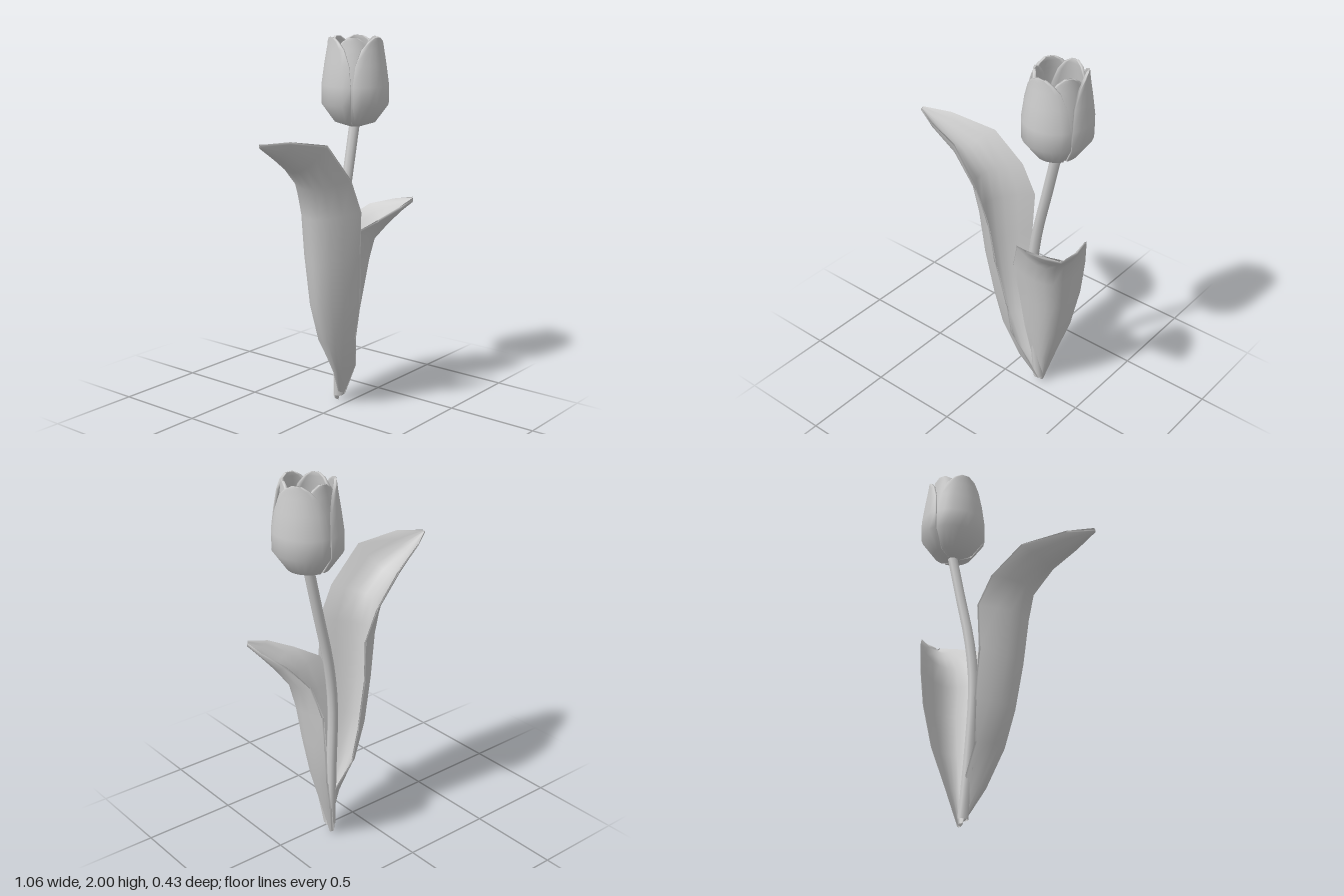
import * as THREE from 'three';

const material = new THREE.MeshStandardMaterial({ color: 0xcccccc, side: THREE.DoubleSide });

// Skin a stack of closed rings (equal point counts) and cap both ends
function loft(rings) {
  const n = rings[0].length, index = [];
  for (let i = 0; i < rings.length - 1; i++) {
    for (let j = 0; j < n; j++) {
      const a = i * n + j, b = i * n + (j + 1) % n;
      index.push(a, a + n, b, b, a + n, b + n);
    }
  }
  const last = (rings.length - 1) * n;
  for (let j = 1; j < n - 1; j++) {
    index.push(0, j, j + 1, last, last + j + 1, last + j);
  }
  const geometry = new THREE.BufferGeometry();
  geometry.setAttribute('position', new THREE.Float32BufferAttribute(rings.flat(2), 3));
  geometry.setIndex(index);
  geometry.computeVertexNormals();
  return geometry;
}

// Thin ring: outer skin from t = -1 to 1, then inner skin back again
function shellRing(point, segments) {
  const outer = [], inner = [];
  for (let j = 0; j <= segments; j++) {
    const t = (j / segments) * 2 - 1;
    outer.push(point(t, 0));
    inner.unshift(point(t, 1));
  }
  return [...outer, ...inner];
}

function part(name, geometry) {
  const mesh = new THREE.Mesh(geometry, material);
  mesh.name = name;
  return mesh;
}

// Channel leaf. Row: midrib out, midrib y, edge out, edge y, half width, side shift,
// then how far the two edges differ outwards (lean) and in height (tilt)
function leaf(name, rows) {
  const thickness = 0.012;
  return part(name, loft(rows.map(([mx, my, ex, ey, w, shift, lean = 0, tilt = 0]) => {
    const dir = new THREE.Vector2(ex - mx, ey - my).normalize().multiplyScalar(thickness);
    return shellRing((t, inside) => {
      const k = t * t;
      return [
        mx + (ex - mx) * k - lean * t * k + dir.x * inside,
        my + (ey - my) * k - tilt * t * k + dir.y * inside,
        shift + w * t,
      ];
    }, 8);
  })));
}

// Cupped petal. Row: height, radius, half angle
const petalRows = [
  [1.53, 0.03, 0.9], [1.555, 0.105, 0.95], [1.65, 0.172, 1.02], [1.75, 0.173, 1.02],
  [1.86, 0.158, 0.94], [1.94, 0.145, 0.73], [1.98, 0.14, 0.46], [2.0, 0.138, 0.18],
];
function petal(name, scale, angle) {
  const mesh = part(name, loft(petalRows.map(([y, r, half]) =>
    shellRing((t, inside) => {
      const radius = r * scale - 0.012 * inside;
      return [radius * Math.cos(t * half), y, radius * Math.sin(t * half)];
    }, 8))));
  mesh.rotation.y = angle;
  return mesh;
}

export function createModel() {
  const model = new THREE.Group();
  model.name = 'flower';

  // Stem
  const path = new THREE.CatmullRomCurve3([
    [0.2, 0.04, -0.05], [0.175, 0.4, -0.035], [0.16, 0.75, -0.03],
    [0.185, 1.0, -0.03], [0.245, 1.28, -0.03], [0.305, 1.56, -0.03],
  ].map((p) => new THREE.Vector3(...p)));
  model.add(part('stem', new THREE.TubeGeometry(path, 16, 0.028, 8)));

  // Tall leaf on the right, curling outwards
  const tallLeaf = leaf('tallLeaf', [
    [0.01, 0.04, -0.01, 0.04, 0.015, 0.04],
    [0.1, 0.2, 0.01, 0.23, 0.06, 0.0, -0.01],
    [0.2, 0.4, 0.09, 0.41, 0.11, 0.0, -0.02],
    [0.26, 0.6, 0.1, 0.62, 0.145, 0.0, -0.025],
    [0.3, 0.85, 0.14, 0.9, 0.17, -0.01, -0.015],
    [0.33, 1.1, 0.15, 1.13, 0.186, -0.015],
    [0.36, 1.26, 0.23, 1.295, 0.182, -0.015, 0, 0.01],
    [0.47, 1.36, 0.39, 1.465, 0.158, -0.017, 0, 0.03],
    [0.6, 1.44, 0.6, 1.515, 0.085, -0.035, 0, 0.015],
    [0.725, 1.515, 0.725, 1.525, 0.008, -0.04],
  ]);
  tallLeaf.position.x = 0.2;
  tallLeaf.rotation.y = Math.PI;
  model.add(tallLeaf);

  // Short leaf wrapping the front left of the stem
  const shortLeaf = leaf('shortLeaf', [
    [0.0, 0.0, -0.015, 0.01, 0.015, -0.02],
    [0.05, 0.2, -0.01, 0.2, 0.07, -0.03],
    [0.1, 0.4, 0.0, 0.4, 0.125, -0.045],
    [0.14, 0.62, 0.0, 0.62, 0.165, -0.053],
    [0.17, 0.8, 0.01, 0.82, 0.19, -0.045],
    [0.2, 0.92, 0.07, 0.98, 0.18, -0.046],
    [0.27, 1.0, 0.2, 1.055, 0.147, -0.046, 0, 0.015],
    [0.345, 1.07, 0.325, 1.1, 0.09, -0.045, 0, 0.005],
    [0.405, 1.11, 0.405, 1.125, 0.012, -0.05],
  ]);
  shortLeaf.position.set(0.2, 0, -0.05);
  shortLeaf.rotation.y = -Math.PI / 4;
  model.add(shortLeaf);

  // Bloom: three outer petals, three inner petals between them
  const bloom = new THREE.Group();
  bloom.name = 'bloom';
  for (let i = 0; i < 3; i++) {
    const angle = -Math.PI / 2 + (i * Math.PI * 2) / 3;
    bloom.add(petal('outerPetal', 1, angle));
    bloom.add(petal('innerPetal', 0.87, angle + Math.PI / 3));
  }

  // Pistil
  const column = part('pistilColumn', new THREE.CylinderGeometry(0.018, 0.025, 0.17, 8));
  column.position.set(0.015, 1.62, -0.01);
  const tip = part('pistilTip', new THREE.SphereGeometry(0.03, 12, 8));
  tip.position.set(0.015, 1.71, -0.01);
  bloom.add(column, tip);
  bloom.position.set(0.302, 0, -0.028);
  bloom.scale.z = 1.06;
  model.add(bloom);

  return model;
}
